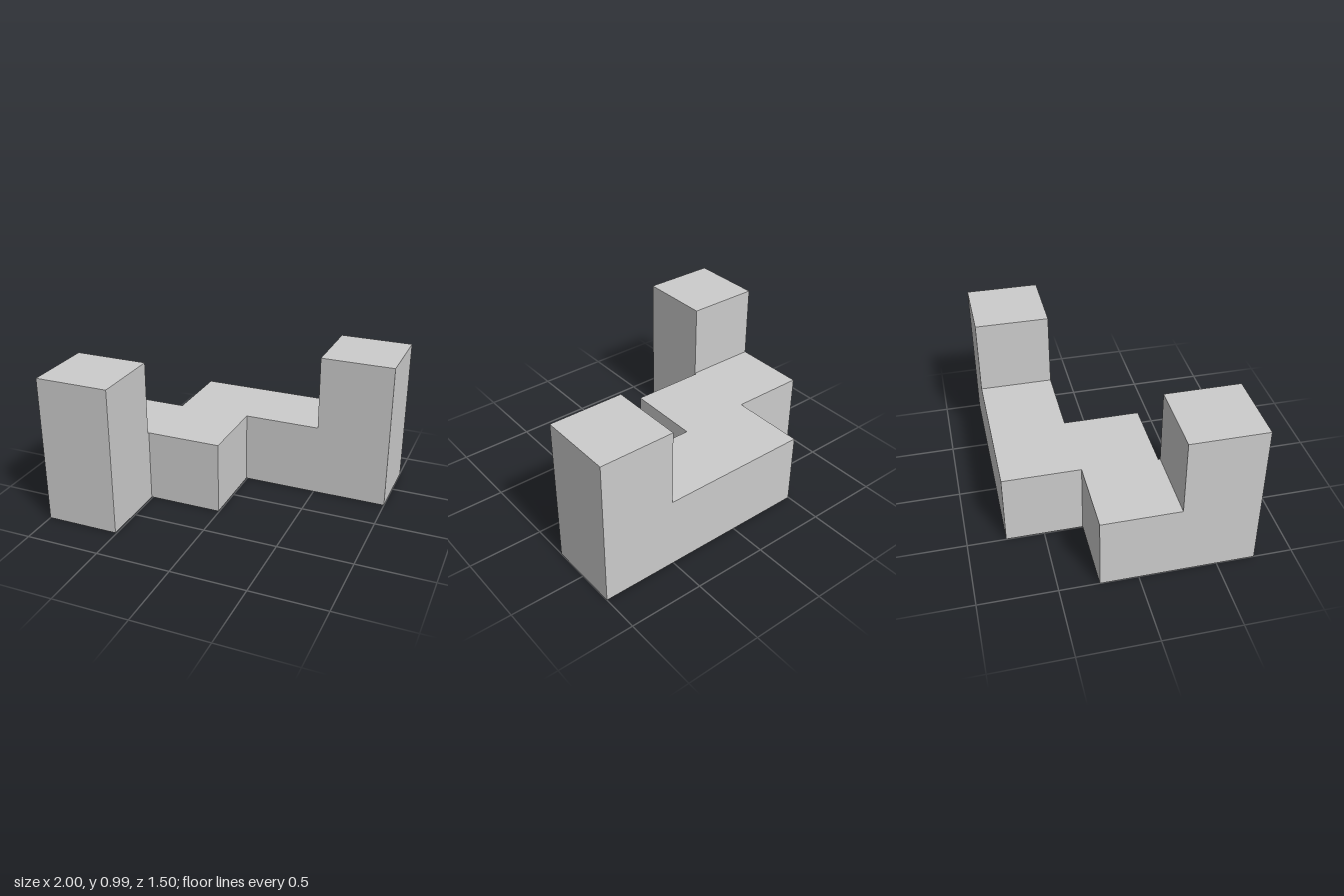
import * as THREE from 'three';
import { mergeGeometries } from 'three/addons/utils/BufferGeometryUtils.js';

const LOW = 0.491, HIGH = 0.994;

// Vertical walls around a plan outline of [x, z] corners, counterclockwise from above
function walls(outline, y0, y1) {
  const pos = [];
  outline.forEach(([ax, az], i) => {
    const [bx, bz] = outline[(i + 1) % outline.length];
    pos.push(ax, y0, az, bx, y0, bz, bx, y1, bz, ax, y0, az, bx, y1, bz, ax, y1, az);
  });
  const g = new THREE.BufferGeometry();
  g.setAttribute('position', new THREE.Float32BufferAttribute(pos, 3));
  g.computeVertexNormals();
  return g;
}

// Flat face filling an outline, facing up (dir 1) or down (dir -1)
function cap(outline, y, dir) {
  const shape = new THREE.Shape(outline.map(([x, z]) => new THREE.Vector2(x, -dir * z)));
  const g = new THREE.ShapeGeometry(shape).toNonIndexed();
  g.deleteAttribute('uv');
  return g.rotateX(-dir * Math.PI / 2).translate(0, y, 0);
}

const rect = (x0, x1, z0, z1) => [[x0, z1], [x1, z1], [x1, z0], [x0, z0]];

export function createModel() {
  const model = new THREE.Group();
  const material = new THREE.MeshStandardMaterial({ color: 0xcccccc, flatShading: true });
  const add = (name, parts) => {
    const mesh = new THREE.Mesh(mergeGeometries(parts), material);
    mesh.name = name;
    model.add(mesh);
  };

  // Zigzag footprint, and the part of it left uncovered by the towers
  const step = [[-0.509, 0.2455], [-0.006, 0.2455], [-0.006, -0.2575]];
  const back = [[-0.497, -0.7485], [-0.497, -0.2455], [-1, -0.2455]];
  const footprint = [[-1, 0.7485], [-0.509, 0.7485], ...step, [1, -0.2575], [1, -0.7485], ...back];
  const walkway = [[-1, 0.2575], [-0.509, 0.2575], ...step, [0.509, -0.2575], [0.509, -0.7485], ...back];
  add('zigzagBase', [walls(footprint, 0, LOW), cap(footprint, 0, -1), cap(walkway, LOW, 1)]);

  // Raised blocks at both ends
  const towers = {
    frontTower: rect(-1, -0.509, 0.2575, 0.7485),
    backTower: rect(0.509, 1, -0.7485, -0.2575),
  };
  for (const [name, outline] of Object.entries(towers)) {
    add(name, [walls(outline, LOW, HIGH), cap(outline, HIGH, 1)]);
  }
  return model;
}
